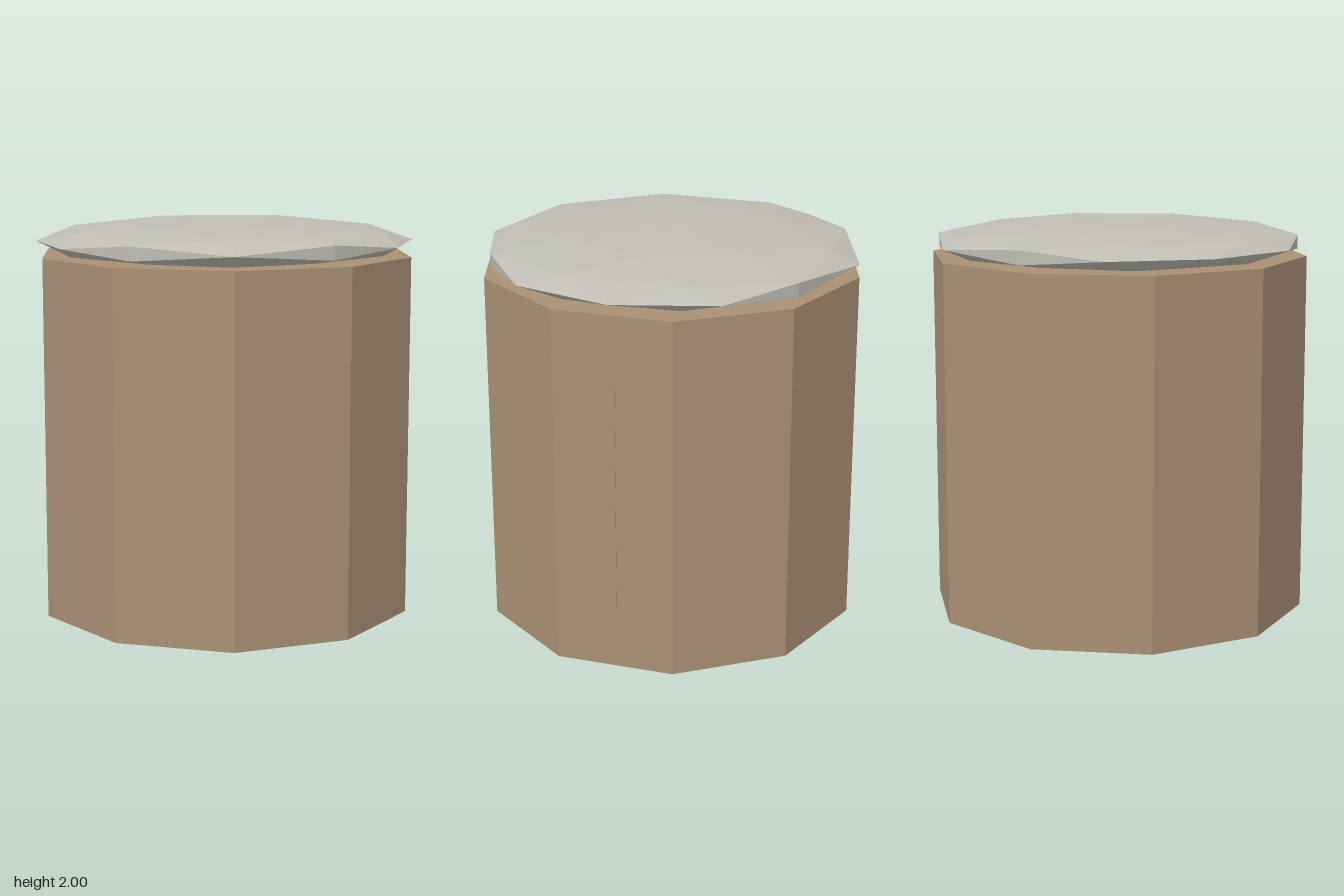
import * as THREE from 'three';

export function createModel() {
  const group = new THREE.Group();
  const wood = new THREE.MeshStandardMaterial({ color: 0xaa9076, flatShading: true });
  wood.name = 'brown';
  const stone = new THREE.MeshStandardMaterial({ color: 0xbfbdb3, flatShading: true });
  stone.name = 'pale grey';

  const add = (name, geometry, material, x, y, z) => {
    const mesh = new THREE.Mesh(geometry, material);
    mesh.name = name;
    mesh.position.set(x, y, z);
    group.add(mesh);
    return mesh;
  };

  // Ten-sided drum, corners pointing to the front and back
  const radius = 0.96, height = 1.82;
  add('body', new THREE.CylinderGeometry(radius, radius, height, 10), wood, 0, height / 2, 0);

  // Flattened faceted cap, its lower part sunk into the body
  const cap = add('cap', new THREE.IcosahedronGeometry(radius, 1), stone, 0, 1.885, 0);
  cap.scale.y = 0.115 / radius;

  // Hairline upright ridge on the left face
  add('sideRidge', new THREE.BoxGeometry(0.008, 1.26, 0.003), wood, 0.912, 0.91, -0.012);

  return group;
}
